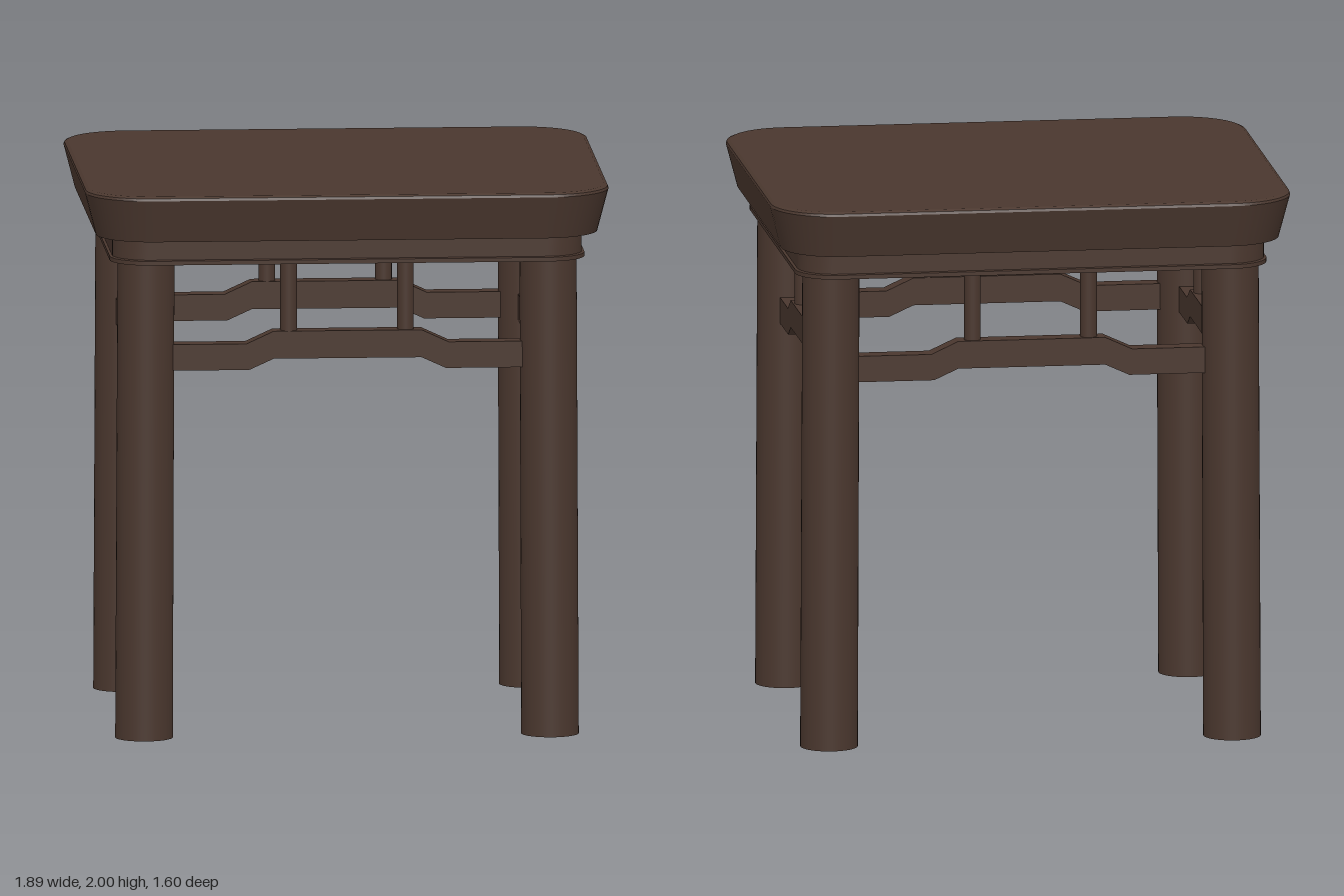
import * as THREE from 'three';

const wood = new THREE.MeshStandardMaterial({ color: 0x4a372e });
wood.name = 'dark wood';

function add(parent, name, geometry, x = 0, y = 0, z = 0) {
  const mesh = new THREE.Mesh(geometry, wood);
  mesh.name = name;
  mesh.position.set(x, y, z);
  parent.add(mesh);
  return mesh;
}

// Outline of a rounded rectangle at height y
function ring(hx, hz, r, y) {
  const pts = [], n = 12;
  for (let q = 0; q < 4; q++) {
    const sx = q === 0 || q === 3 ? 1 : -1, sz = q < 2 ? 1 : -1;
    for (let i = 0; i <= n; i++) {
      const a = (q + i / n) * Math.PI / 2;
      pts.push([sx * (hx - r) + r * Math.cos(a), y, sz * (hz - r) + r * Math.sin(a)]);
    }
  }
  return pts;
}

// Closed solid through [halfX, halfZ, cornerRadius, y] sections, sharp between bands
function loft(sections) {
  const pos = [], idx = [];
  const rings = sections.map(s => ring(...s));
  const n = rings[0].length;
  for (let k = 0; k + 1 < rings.length; k++) {
    const o = pos.length / 3;
    pos.push(...rings[k].flat(), ...rings[k + 1].flat());
    for (let i = 0; i < n; i++) {
      const a = o + i, b = o + (i + 1) % n;
      idx.push(a, a + n, b, a + n, b + n, b);
    }
  }
  for (const [pts, top] of [[rings[0], false], [rings[rings.length - 1], true]]) {
    const o = pos.length / 3;
    pos.push(0, pts[0][1], 0, ...pts.flat());
    for (let i = 0; i < n; i++) {
      const a = o + 1 + i, b = o + 1 + (i + 1) % n;
      idx.push(o, top ? b : a, top ? a : b);
    }
  }
  const g = new THREE.BufferGeometry();
  g.setAttribute('position', new THREE.Float32BufferAttribute(pos, 3));
  g.setIndex(idx);
  g.computeVertexNormals();
  return g;
}

// Humpbacked rail running along x, raised in the middle
function railGeometry(half, outer, inner) {
  const lower = [[-half, 1.34], [-outer, 1.34], [-inner, 1.38], [inner, 1.38], [outer, 1.34], [half, 1.34]];
  const upper = [[half, 1.435], [outer + 0.01, 1.435], [inner, 1.48], [-inner, 1.48], [-outer - 0.01, 1.435], [-half, 1.435]];
  const shape = new THREE.Shape([...lower, ...upper].map(p => new THREE.Vector2(...p)));
  const depth = 0.07;
  return new THREE.ExtrudeGeometry(shape, { depth, bevelEnabled: false }).translate(0, 0, -depth / 2);
}

export function createModel() {
  const model = new THREE.Group();
  model.name = 'stool';
  const legX = 0.726, legZ = 0.587;

  // Seat slab flaring outward to a softened top edge
  add(model, 'seat', loft([
    [0.905, 0.76, 0.20, 1.83],
    [0.945, 0.80, 0.23, 1.985],
    [0.942, 0.797, 0.228, 1.994],
    [0.93, 0.785, 0.22, 2.0],
  ]));

  // Recessed apron with a thin lip along the bottom
  add(model, 'apron', loft([
    [0.857, 0.725, 0.14, 1.74],
    [0.857, 0.725, 0.14, 1.755],
    [0.848, 0.717, 0.135, 1.758],
    [0.848, 0.717, 0.135, 1.835],
  ]));

  // Round legs, very slightly splayed
  for (const sx of [-1, 1]) for (const sz of [-1, 1]) {
    const leg = new THREE.CylinderGeometry(0.103, 0.104, 1.75, 40);
    const p = leg.attributes.position;
    for (let i = 0; i < p.count; i++) {
      p.setX(i, p.getX(i) + sx * 0.007 * (0.5 - p.getY(i) / 1.75));
    }
    add(model, 'leg', leg, sx * legX, 0.875, sz * legZ);
  }

  // One rail with two short struts on each side
  const side = (name, half, outer, inner, strutX, offset, turn) => {
    const group = new THREE.Group();
    group.name = name;
    add(group, 'rail', railGeometry(half, outer, inner), 0, 0, offset);
    for (const s of [-1, 1]) {
      add(group, 'strut', new THREE.CylinderGeometry(0.03, 0.03, 0.29, 24), s * strutX, 1.6, offset);
    }
    group.rotation.y = turn;
    model.add(group);
  };
  side('frontRail', 0.69, 0.355, 0.267, 0.211, legZ, 0);
  side('backRail', 0.69, 0.355, 0.267, 0.211, legZ, Math.PI);
  side('leftRail', 0.55, 0.278, 0.21, 0.148, legX, Math.PI / 2);
  side('rightRail', 0.55, 0.278, 0.21, 0.148, legX, -Math.PI / 2);

  return model;
}
